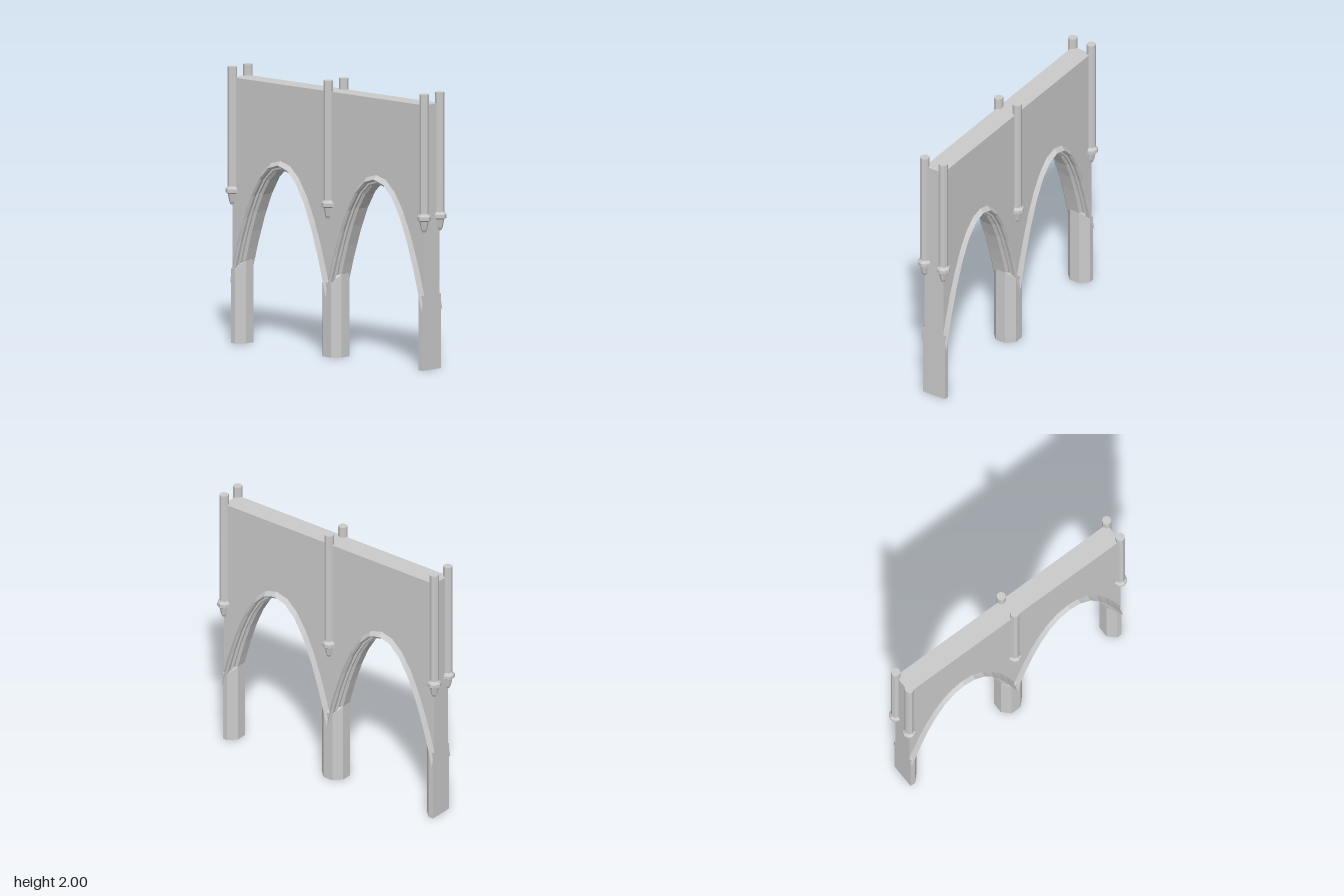
import * as THREE from 'three';

const HALF_BAY = 0.475, WALL_Z = 0.08, WALL_TOP = 1.92, STEPS = 7;
const stone = new THREE.MeshStandardMaterial({ color: 0xcccccc, flatShading: true });

// Moulding profile from wall face to soffit: [crown height, steepness, half span, z]
const half = [
  [1.365, 4.04, 0.475, 0.08],
  [1.335, 4.49, 0.475, 0.108],
  [1.322, 4.7, 0.446, 0.094],
  [1.322, 4.7, 0.446, 0.072],
  [1.308, 5.1, 0.4, 0.07],
  [1.308, 5.1, 0.4, 0.055],
  [1.29, 5.52, 0.38, 0.04],
];
const profile = [...half, ...half.slice().reverse().map(([h, k, w, z]) => [h, k, w, -z])];

// Points of one arch line, left to right around its own centre
function archLine([crown, steep, span]) {
  const pts = [];
  for (let i = -STEPS; i <= STEPS; i++) {
    const d = span * (1 - Math.pow(1 - Math.abs(i) / STEPS, 1.45));
    pts.push([Math.sign(i) * d, crown - steep * Math.pow(d, 2.15)]);
  }
  return pts;
}

function add(parent, name, geometry, x = 0, y = 0, z = 0) {
  const mesh = new THREE.Mesh(geometry, stone);
  mesh.name = name;
  mesh.position.set(x, y, z);
  parent.add(mesh);
}

// Stepped moulding: the profile swept around the arch, closed at its feet
function mouldingGeometry() {
  const pos = [], index = [], n = 2 * STEPS + 1, last = profile.length - 1;
  for (const p of profile) for (const [x, y] of archLine(p)) pos.push(x, y, p[3]);
  const quad = (a, b, c, d) => index.push(a, b, c, a, c, d);
  for (let j = 0; j < last; j++)
    for (let i = 0; i < n - 1; i++)
      quad(j * n + i, (j + 1) * n + i, (j + 1) * n + i + 1, j * n + i + 1);
  const foot = [0, n, (last - 1) * n, last * n];
  quad(...foot.map(v => v + n - 1));
  quad(...foot.slice().reverse());
  const g = new THREE.BufferGeometry();
  g.setAttribute('position', new THREE.Float32BufferAttribute(pos, 3));
  g.setIndex(index);
  g.computeVertexNormals();
  return g;
}

// Wall outline follows the outer line of both arches
function wallGeometry() {
  const s = new THREE.Shape();
  const line = archLine(half[0]);
  s.moveTo(-2 * HALF_BAY, WALL_TOP);
  for (const [x, y] of line) s.lineTo(x - HALF_BAY, y);
  for (const [x, y] of line.slice(1)) s.lineTo(x + HALF_BAY, y);
  s.lineTo(2 * HALF_BAY, WALL_TOP);
  s.closePath();
  return new THREE.ExtrudeGeometry(s, { depth: 2 * WALL_Z, bevelEnabled: false }).translate(0, 0, -WALL_Z);
}

// Octagonal pier; side +1 or -1 keeps only that half
function pierGeometry(side) {
  const r = 0.095, c = 0.04;
  let pts = [[c, -r], [r, -c], [r, c], [c, r], [-c, r], [-r, c], [-r, -c], [-c, -r]];
  if (side > 0) pts = [[0, -r], ...pts.slice(0, 4), [0, r]];
  if (side < 0) pts = [[0, r], ...pts.slice(4), [0, -r]];
  const s = new THREE.Shape(pts.map(([x, y]) => new THREE.Vector2(x, y)));
  const g = new THREE.ExtrudeGeometry(s, { depth: 0.6, bevelEnabled: false }).rotateX(-Math.PI / 2);
  // Lower the top at front and back so it tucks under the mouldings
  const p = g.attributes.position;
  for (let i = 0; i < p.count; i++)
    if (p.getY(i) > 0.5 && Math.abs(p.getZ(i)) > 0.05) p.setY(i, 0.54);
  g.computeVertexNormals();
  return g;
}

// Slender shaft with collar and pendant tip
function shaftGeometry() {
  const pts = [[0, 1.0], [0.012, 1.0], [0.022, 1.02], [0.034, 1.08], [0.05, 1.09],
    [0.05, 1.115], [0.034, 1.135], [0.034, 2.0], [0, 2.0]];
  return new THREE.LatheGeometry(pts.map(([x, y]) => new THREE.Vector2(x, y)), 8);
}

export function createModel() {
  const model = new THREE.Group();
  model.name = 'arcade';
  add(model, 'wall', wallGeometry());

  const moulding = mouldingGeometry();
  for (const x of [-HALF_BAY, HALF_BAY]) add(model, 'archMoulding', moulding, x);

  // Full pier in the middle, half piers at the ends
  for (const i of [-1, 0, 1])
    add(model, i ? 'endPier' : 'middlePier', pierGeometry(-i), i * 2 * HALF_BAY);

  const shaft = shaftGeometry();
  for (const i of [-1, 0, 1])
    for (const z of [-WALL_Z, WALL_Z]) add(model, 'shaft', shaft, i * 2 * HALF_BAY, 0, z);
  return model;
}
